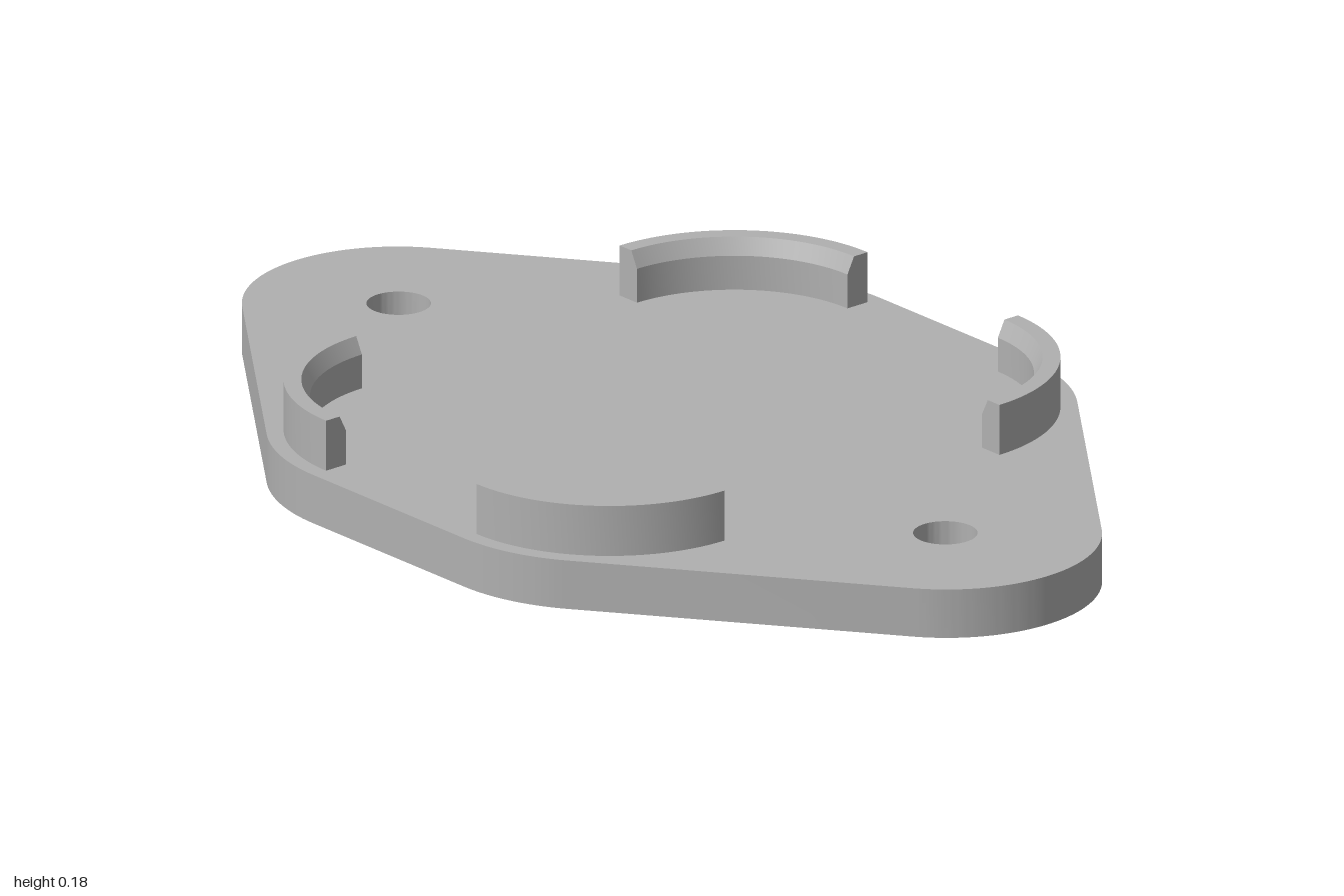
import * as THREE from 'three';
import { toCreasedNormals } from 'three/addons/utils/BufferGeometryUtils.js';

const PLATE_H = 0.09, TOP = 0.183;
const CORNER = { x: 0.2, z: 0.315, r: 0.335 }; // rounded corners, shared centre with the clips
const END = { x: 0.73, r: 0.27 };              // rounded ends, shared centre with the holes

function plateGeometry() {
  // Angle of the common tangent's normal between a corner arc and an end arc
  const dx = END.x - CORNER.x, dz = -CORNER.z;
  const t = Math.atan2(dz, dx) + Math.acos((CORNER.r - END.r) / Math.hypot(dx, dz));
  const P = Math.PI;
  const s = new THREE.Shape();
  s.absarc(END.x, 0, END.r, -t, t);
  s.absarc(CORNER.x, CORNER.z, CORNER.r, t, P / 2);
  s.absarc(-CORNER.x, CORNER.z, CORNER.r, P / 2, P - t);
  s.absarc(-END.x, 0, END.r, P - t, P + t);
  s.absarc(-CORNER.x, -CORNER.z, CORNER.r, P + t, 1.5 * P);
  s.absarc(CORNER.x, -CORNER.z, CORNER.r, 1.5 * P, 2 * P - t);
  // Screw holes
  for (const side of [-1, 1]) {
    const hole = new THREE.Path();
    hole.absarc(side * 0.727, 0, 0.056, 0, 2 * P, true);
    s.holes.push(hole);
  }
  const g = new THREE.ExtrudeGeometry(s, { depth: PLATE_H, bevelEnabled: false, curveSegments: 32 });
  g.rotateX(-P / 2);
  return toCreasedNormals(g, 0.6);
}

export function createModel() {
  const model = new THREE.Group();
  const grey = new THREE.MeshStandardMaterial({ color: 0xb0b0b0 });
  grey.name = 'grey';

  const plate = new THREE.Mesh(plateGeometry(), grey);
  plate.name = 'basePlate';
  model.add(plate);

  // Clip cross-section: radius and height, chamfered on the inner top edge
  const profile = [
    [0.305, PLATE_H], [0.305, TOP], [0.274, TOP], [0.259, TOP - 0.03], [0.259, PLATE_H], [0.305, PLATE_H],
  ].map(([r, y]) => new THREE.Vector2(r, y));
  const wallGeo = toCreasedNormals(new THREE.LatheGeometry(profile, 28, 0, Math.PI / 2), 0.3);
  const capA = new THREE.ShapeGeometry(new THREE.Shape(profile.slice(0, 5)));
  const capB = capA.clone();
  capA.rotateY(-Math.PI / 2);
  // Turn the second cap to face -z
  const idx = capB.index;
  for (let i = 0; i < idx.count; i += 3) {
    const a = idx.getX(i);
    idx.setX(i, idx.getX(i + 1));
    idx.setX(i + 1, a);
  }
  capB.computeVertexNormals();

  // One quarter-ring clip at each corner
  const corners = [
    ['frontLeftClip', 1, 1], ['backLeftClip', 1, -1], ['backRightClip', -1, -1], ['frontRightClip', -1, 1],
  ];
  corners.forEach(([name, sx, sz], i) => {
    const clip = new THREE.Group();
    clip.name = name;
    [['wall', wallGeo], ['endA', capA], ['endB', capB]].forEach(([part, geo]) => {
      const m = new THREE.Mesh(geo, grey);
      m.name = part;
      clip.add(m);
    });
    clip.position.set(sx * CORNER.x, 0, sz * CORNER.z);
    clip.rotation.y = i * Math.PI / 2;
    model.add(clip);
  });
  return model;
}
